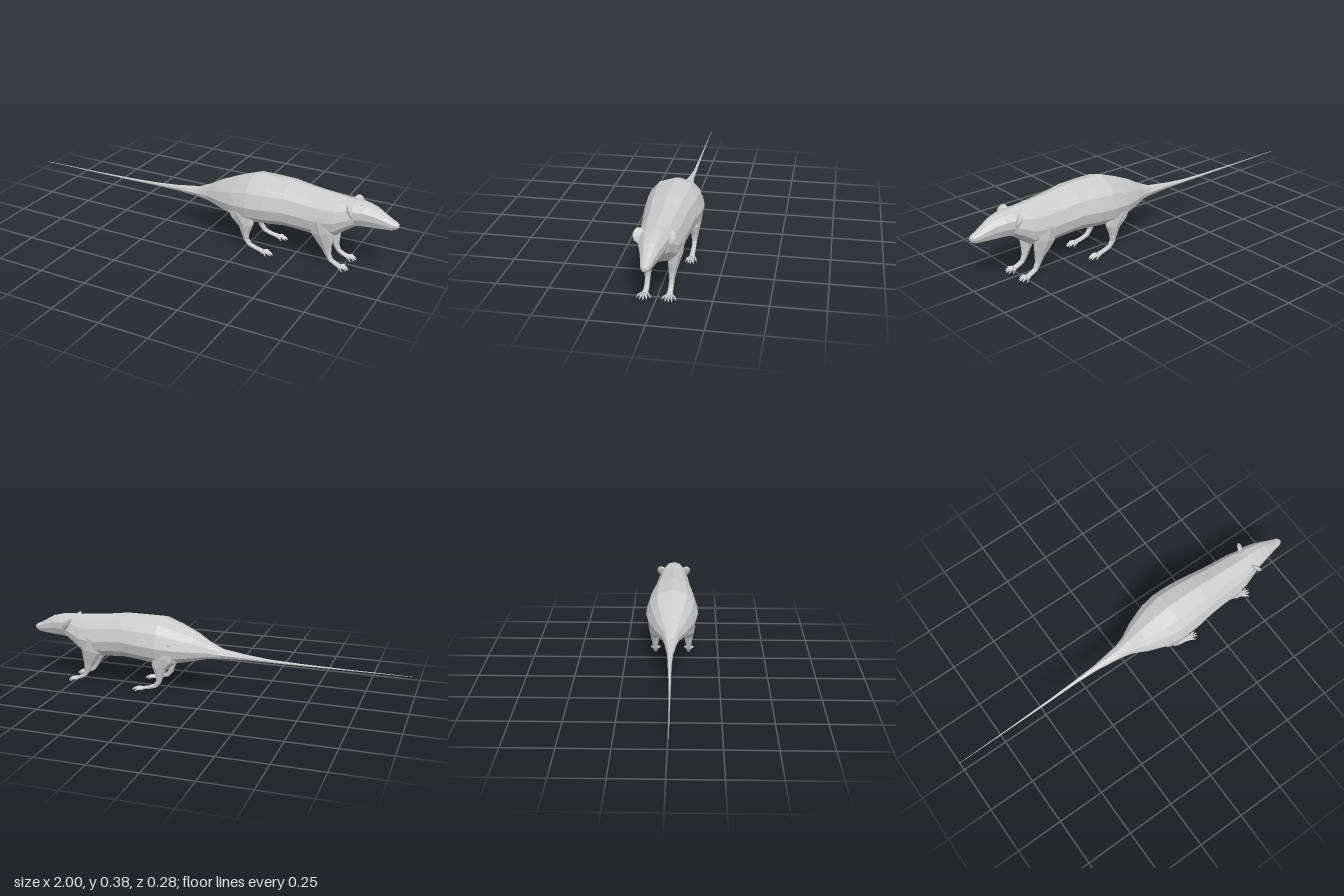
import * as THREE from 'three';

const material = new THREE.MeshStandardMaterial({ color: 0xcccccc, flatShading: true });

// Skin a closed, capped surface over rings of points ordered counterclockwise about the path
function skin(name, rings) {
  const pos = [];
  const tri = (a, b, c) => pos.push(...a, ...b, ...c);
  const n = rings[0].length;
  const centre = (r) => [0, 1, 2].map((k) => r.reduce((s, p) => s + p[k], 0) / n);
  const first = rings[0], last = rings[rings.length - 1];
  const c0 = centre(first), c1 = centre(last);
  for (let j = 0; j < n; j++) {
    const k = (j + 1) % n;
    for (let i = 0; i < rings.length - 1; i++) {
      const a = rings[i], b = rings[i + 1];
      if ((i + j) % 2) {
        tri(a[j], a[k], b[j]);
        tri(a[k], b[k], b[j]);
      } else {
        tri(a[j], a[k], b[k]);
        tri(a[j], b[k], b[j]);
      }
    }
    tri(c0, first[k], first[j]);
    tri(c1, last[j], last[k]);
  }
  const geo = new THREE.BufferGeometry();
  geo.setAttribute('position', new THREE.Float32BufferAttribute(pos, 3));
  geo.computeVertexNormals();
  const mesh = new THREE.Mesh(geo, material);
  mesh.name = name;
  return mesh;
}

// Upright sections: stations are [x, bottom, top, halfWidth], outline is a half profile [z, y] in -1..1
function torso(name, stations, outline) {
  const mirrored = outline.slice(1, -1).reverse().map(([z, y]) => [-z, y]);
  const full = [...outline, ...mirrored];
  return skin(name, stations.map(([x, lo, hi, w]) =>
    full.map(([z, y]) => [x, (lo + hi) / 2 + (y * (hi - lo)) / 2, z * w])));
}

// Limb sections square to the path: stations are [x, y, z, radiusInPlane, radiusSideways]
function limb(name, stations, sides) {
  return skin(name, stations.map(([x, y, z, rn, rz], i) => {
    const a = stations[Math.max(i - 1, 0)], b = stations[Math.min(i + 1, stations.length - 1)];
    const len = Math.hypot(b[0] - a[0], b[1] - a[1]);
    const tx = (b[0] - a[0]) / len, ty = (b[1] - a[1]) / len;
    return Array.from({ length: sides }, (_, j) => {
      const t = (j / sides) * Math.PI * 2;
      const u = Math.cos(t) * rn;
      return [x - ty * u, y + tx * u, z + Math.sin(t) * rz];
    });
  }));
}

// Leg with a fan of clawed toes, mirrored by side
function leg(name, stations, toes, reach, spread, side) {
  const group = new THREE.Group();
  group.name = name;
  const flip = (list) => list.map(([x, y, z, a, b]) => [x, y, z * side, a, b]);
  group.add(limb(name + 'Limb', flip(stations), 8));
  const [fx, , fz, , fw] = stations[stations.length - 1];
  for (let i = 0; i < toes; i++) {
    const s = (i / (toes - 1)) * 2 - 1;
    const tip = fx + reach * (1 - 0.45 * s * s);
    group.add(limb('toe', flip([
      [fx - 0.012, 0.011, fz + s * fw * 0.6, 0.006, 0.005],
      [(fx + tip) / 2, 0.012, fz + s * (fw + spread) * 0.5, 0.006, 0.005],
      [tip - 0.01, 0.006, fz + s * spread * 0.85, 0.004, 0.004],
      [tip, 0.001, fz + s * spread, 0.001, 0.001],
    ]), 5));
  }
  return group;
}

export function createModel() {
  const model = new THREE.Group();
  model.name = 'rat';

  // Body from rump to neck
  const bodyOutline = [[0, 1], [0.57, 0.8], [0.84, 0.46], [1, -0.1], [0.9, -0.55], [0.52, -0.9], [0, -1]];
  model.add(torso('body', [
    [-0.05, 0.187, 0.238, 0.03],
    [0.02, 0.18, 0.27, 0.05],
    [0.09, 0.165, 0.31, 0.088],
    [0.18, 0.145, 0.35, 0.122],
    [0.27, 0.135, 0.384, 0.139],
    [0.36, 0.145, 0.384, 0.137],
    [0.46, 0.153, 0.384, 0.122],
    [0.56, 0.145, 0.37, 0.11],
    [0.64, 0.135, 0.363, 0.104],
    [0.71, 0.155, 0.356, 0.096],
    [0.76, 0.195, 0.352, 0.08],
    [0.8, 0.222, 0.347, 0.066],
  ], bodyOutline));

  // Head tapering to the muzzle
  const headOutline = [[0, 1], [0.55, 0.88], [0.95, 0.45], [0.95, -0.1], [0.65, -0.7], [0, -1]];
  model.add(torso('head', [
    [0.74, 0.21, 0.35, 0.07],
    [0.79, 0.215, 0.35, 0.07],
    [0.84, 0.222, 0.345, 0.06],
    [0.89, 0.225, 0.332, 0.046],
    [0.935, 0.229, 0.306, 0.033],
    [0.97, 0.233, 0.286, 0.025],
    [0.99, 0.242, 0.278, 0.019],
    [1.0, 0.252, 0.27, 0.011],
  ], headOutline));

  // Tail, tapering to a point
  model.add(limb('tail', [
    [-1, 0.19, 0.012, 0.001, 0.001],
    [-0.7, 0.191, 0.008, 0.003, 0.003],
    [-0.45, 0.194, 0.004, 0.006, 0.006],
    [-0.3, 0.198, 0, 0.009, 0.009],
    [-0.18, 0.204, 0, 0.015, 0.015],
    [-0.04, 0.212, 0, 0.027, 0.034],
    [0.03, 0.222, 0, 0.04, 0.05],
  ], 8));

  const hindLeg = [
    [0.2, 0.27, 0.075, 0.07, 0.045],
    [0.235, 0.19, 0.088, 0.065, 0.037],
    [0.262, 0.135, 0.09, 0.042, 0.027],
    [0.26, 0.09, 0.09, 0.022, 0.018],
    [0.265, 0.055, 0.09, 0.014, 0.012],
    [0.285, 0.031, 0.09, 0.012, 0.011],
    [0.32, 0.019, 0.09, 0.01, 0.012],
    [0.36, 0.012, 0.092, 0.008, 0.015],
  ];
  const frontLeg = [
    [0.635, 0.25, 0.068, 0.06, 0.038],
    [0.65, 0.18, 0.066, 0.06, 0.035],
    [0.665, 0.13, 0.06, 0.042, 0.026],
    [0.675, 0.095, 0.057, 0.026, 0.018],
    [0.685, 0.06, 0.055, 0.016, 0.013],
    [0.7, 0.033, 0.055, 0.012, 0.012],
    [0.725, 0.019, 0.055, 0.01, 0.013],
    [0.75, 0.012, 0.057, 0.008, 0.016],
  ];

  // Legs and ears in mirrored pairs
  for (const side of [1, -1]) {
    model.add(leg('hindLeg', hindLeg, 5, 0.052, 0.027, side));
    model.add(leg('frontLeg', frontLeg, 5, 0.042, 0.032, side));

    const ear = new THREE.Mesh(new THREE.SphereGeometry(1, 9, 6), material);
    ear.name = 'ear';
    ear.scale.set(0.012, 0.036, 0.032);
    ear.position.set(0.783, 0.311, side * 0.066);
    ear.rotation.set(0, side * 0.45, 0.4);
    model.add(ear);
  }
  return model;
}
